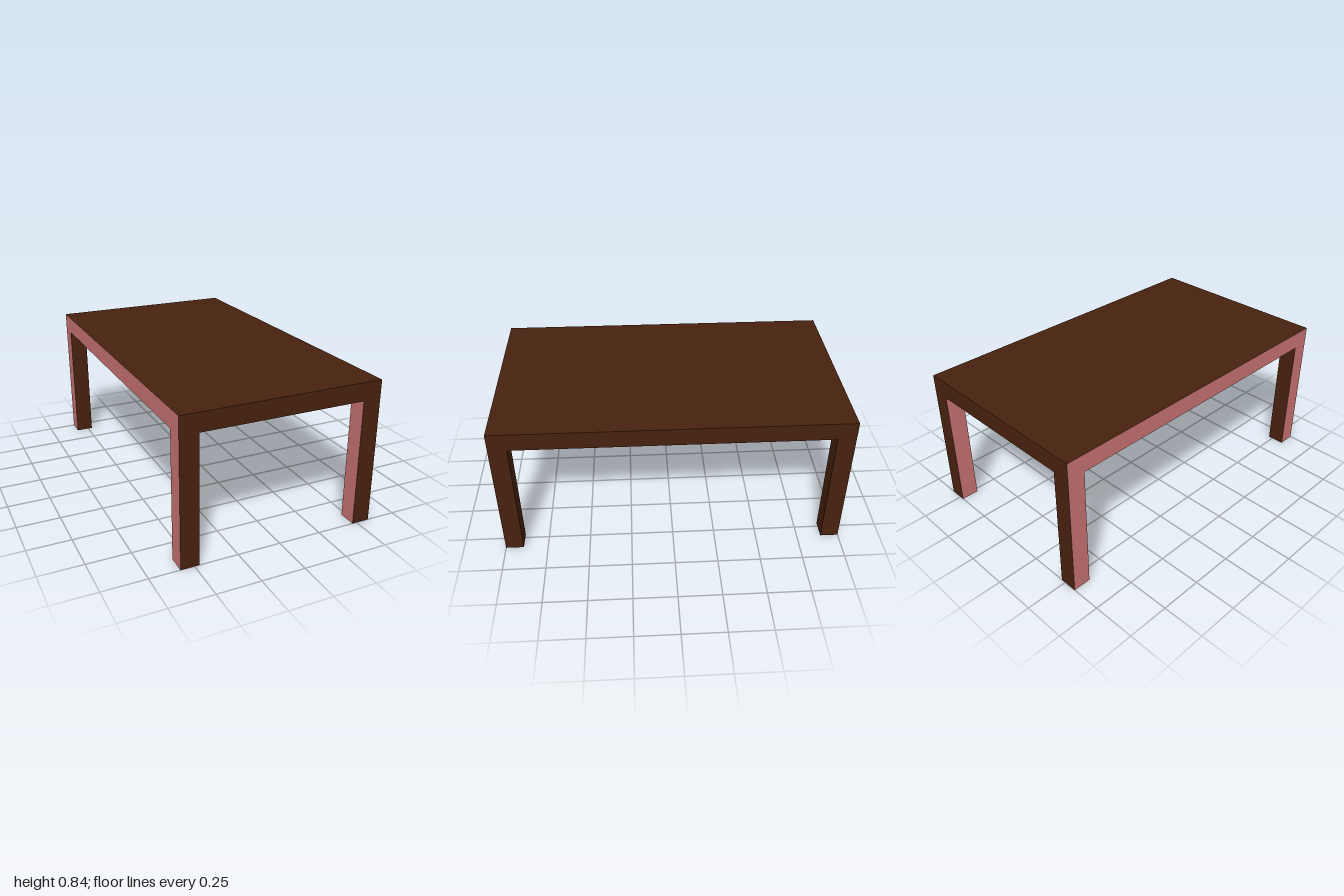
import * as THREE from 'three';

const WIDTH = 1.156, LENGTH = 2, HEIGHT = 0.844, THICK = 0.105;

function material(name, color) {
  const m = new THREE.MeshStandardMaterial({ color });
  m.name = name;
  return m;
}

export function createModel() {
  const wood = material('dark brown wood', 0x47210e);
  const pink = material('dusty pink side', 0xcc7575);
  const foot = material('slate grey foot', 0x4e5463);

  const table = new THREE.Group();
  table.name = 'table';

  // Box with its underside at the given height; faces run +x, -x, +y, -y, +z, -z
  function addBox(name, size, x, bottom, z, underside) {
    const faces = [wood, pink, wood, underside, wood, wood];
    const mesh = new THREE.Mesh(new THREE.BoxGeometry(...size), faces);
    mesh.name = name;
    mesh.position.set(x, bottom + size[1] / 2, z);
    table.add(mesh);
  }

  // Flat slab top
  const legHeight = HEIGHT - THICK;
  addBox('tableTop', [WIDTH, THICK, LENGTH], 0, legHeight, 0, wood);

  // Square legs, flush with the corners of the top
  for (const [side, sx] of [['Left', 1], ['Right', -1]]) {
    for (const [end, sz] of [['front', 1], ['back', -1]]) {
      addBox(`${end}${side}Leg`, [THICK, legHeight, THICK],
        sx * (WIDTH - THICK) / 2, 0, sz * (LENGTH - THICK) / 2, foot);
    }
  }
  return table;
}
